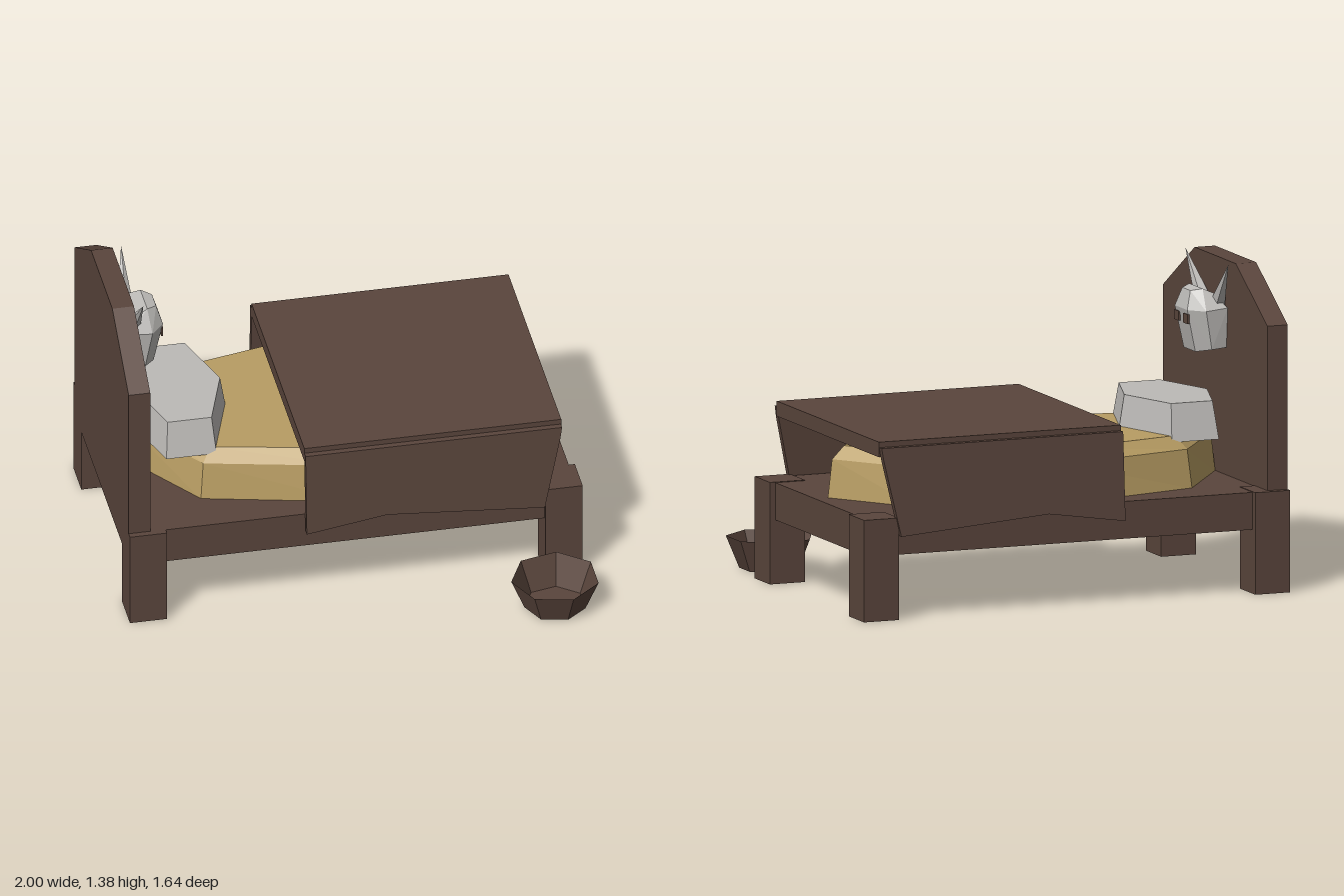
import * as THREE from 'three';
import { ConvexGeometry } from 'three/addons/geometries/ConvexGeometry.js';

const material = (name, color, side = THREE.FrontSide) => {
  const m = new THREE.MeshStandardMaterial({ color, flatShading: true, side });
  m.name = name;
  return m;
};

export function createModel() {
  const wood = material('brown wood', 0x5a453c, THREE.DoubleSide);
  const straw = material('straw yellow', 0xb89d63);
  const grey = material('pale grey', 0xbcbab7);
  const model = new THREE.Group();
  model.name = 'bed';
  const bed = new THREE.Group(); // everything centred on the bed's long axis
  bed.name = 'bedAssembly';
  bed.position.z = -0.2;
  model.add(bed);

  const add = (parent, name, geometry, mat) => {
    const mesh = new THREE.Mesh(geometry, mat);
    mesh.name = name;
    parent.add(mesh);
    return mesh;
  };
  // Box given by its lower and upper corners
  const box = (name, a, b, mat) => {
    const g = new THREE.BoxGeometry(b[0] - a[0], b[1] - a[1], b[2] - a[2]);
    g.translate((a[0] + b[0]) / 2, (a[1] + b[1]) / 2, (a[2] + b[2]) / 2);
    return add(bed, name, g, mat);
  };
  // Faceted solid from [radiusX, radiusZ, y] levels, with a corner on +x
  const faceted = (name, sides, levels, mat, x) => {
    const pts = levels.map(l => new THREE.Vector2(1, l[2]));
    pts.unshift(new THREE.Vector2(0, levels[0][2]));
    pts.push(new THREE.Vector2(0, levels[levels.length - 1][2]));
    const g = new THREE.LatheGeometry(pts, sides, Math.PI / 2);
    const p = g.attributes.position;
    for (let i = 0; i < p.count; i++) {
      const k = Math.min(Math.max((i % pts.length) - 1, 0), levels.length - 1);
      p.setX(i, p.getX(i) * levels[k][0]);
      p.setZ(i, p.getZ(i) * levels[k][1]);
    }
    g.computeVertexNormals();
    const mesh = add(bed, name, g, mat);
    mesh.position.x = x;
  };

  // Frame and legs
  box('frame', [-0.985, 0.28, -0.58], [0.965, 0.443, 0.58], wood);
  for (const x of [-1, 0.828]) {
    for (const z of [-0.61, 0.44]) {
      box('leg', [x, 0, z], [x + 0.163, 0.446, z + 0.17], wood);
    }
  }

  // Headboard with sloping shoulders
  const board = new THREE.Shape([
    [-0.582, 0.3], [0.582, 0.3], [0.582, 1.165], [0.23, 1.383], [-0.23, 1.383], [-0.582, 1.165],
  ].map(p => new THREE.Vector2(...p)));
  const boardGeo = new THREE.ExtrudeGeometry(board, { depth: 0.095, bevelEnabled: false });
  boardGeo.rotateY(Math.PI / 2).translate(-1, 0, 0);
  add(bed, 'headboard', boardGeo, wood);

  // Mattress and pillow
  faceted('mattress', 8, [[0.905, 0.53, 0.44], [0.885, 0.5, 0.61], [0.83, 0.445, 0.666]], straw, 0);
  faceted('pillow', 6, [[0.22, 0.385, 0.64], [0.193, 0.338, 0.803]], grey, -0.673);

  // Blanket: flat top and two hanging sides that flare outwards
  box('blanketTop', [-0.225, 0.71, -0.57], [0.905, 0.776, 0.57], wood);
  const flap = new THREE.Shape([
    [-0.225, 0.365], [0.13, 0.418], [0.822, 0.365], [0.895, 0.7], [0.903, 0.752], [-0.225, 0.752],
  ].map(p => new THREE.Vector2(...p)));
  for (const side of [1, -1]) {
    const g = new THREE.ExtrudeGeometry(flap, { depth: 0.03, bevelEnabled: false });
    const p = g.attributes.position;
    for (let i = 0; i < p.count; i++) {
      p.setZ(i, p.getZ(i) - 0.015 + side * (0.582 + (0.752 - p.getY(i)) * 0.07));
    }
    g.computeVertexNormals();
    add(bed, 'blanketSide', g, wood);
  }

  // Horned mask on the headboard
  const mask = new THREE.Group();
  mask.name = 'hornedMask';
  bed.add(mask);
  const maskPoints = [];
  for (const s of [1, -1]) {
    for (const [x, y, z] of [
      [-0.905, 1.0, 0.125], [-0.835, 0.995, 0.13], [-0.785, 0.98, 0.065],
      [-0.905, 1.175, 0.14], [-0.805, 1.165, 0.14], [-0.745, 1.165, 0.07],
      [-0.86, 1.235, 0.09], [-0.815, 1.255, 0.075], [-0.77, 1.245, 0.045],
    ]) maskPoints.push(new THREE.Vector3(x, y, z * s));
  }
  add(mask, 'maskHead', new ConvexGeometry(maskPoints), grey);
  for (const s of [1, -1]) {
    const base = new THREE.Vector3(-0.882, 1.19, 0.085 * s);
    const tip = new THREE.Vector3(-0.866, 1.383, 0.24 * s);
    const dir = tip.clone().sub(base);
    const horn = add(mask, 'horn', new THREE.ConeGeometry(0.036, dir.length(), 5), grey);
    horn.position.copy(base).add(tip).multiplyScalar(0.5);
    horn.quaternion.setFromUnitVectors(new THREE.Vector3(0, 1, 0), dir.normalize());
    const eye = add(mask, 'eye', new THREE.BoxGeometry(0.009, 0.042, 0.048), wood);
    eye.position.set(-0.749, 1.125, 0.05 * s);
  }

  // Open seven-sided bowl beside the bed
  const bowlProfile = [[0, 0], [0.135, 0], [0.193, 0.14]].map(p => new THREE.Vector2(...p));
  const bowl = add(model, 'bowl', new THREE.LatheGeometry(bowlProfile, 7, -Math.PI / 2), wood);
  bowl.position.set(0.825, 0, 0.63);

  return model;
}
